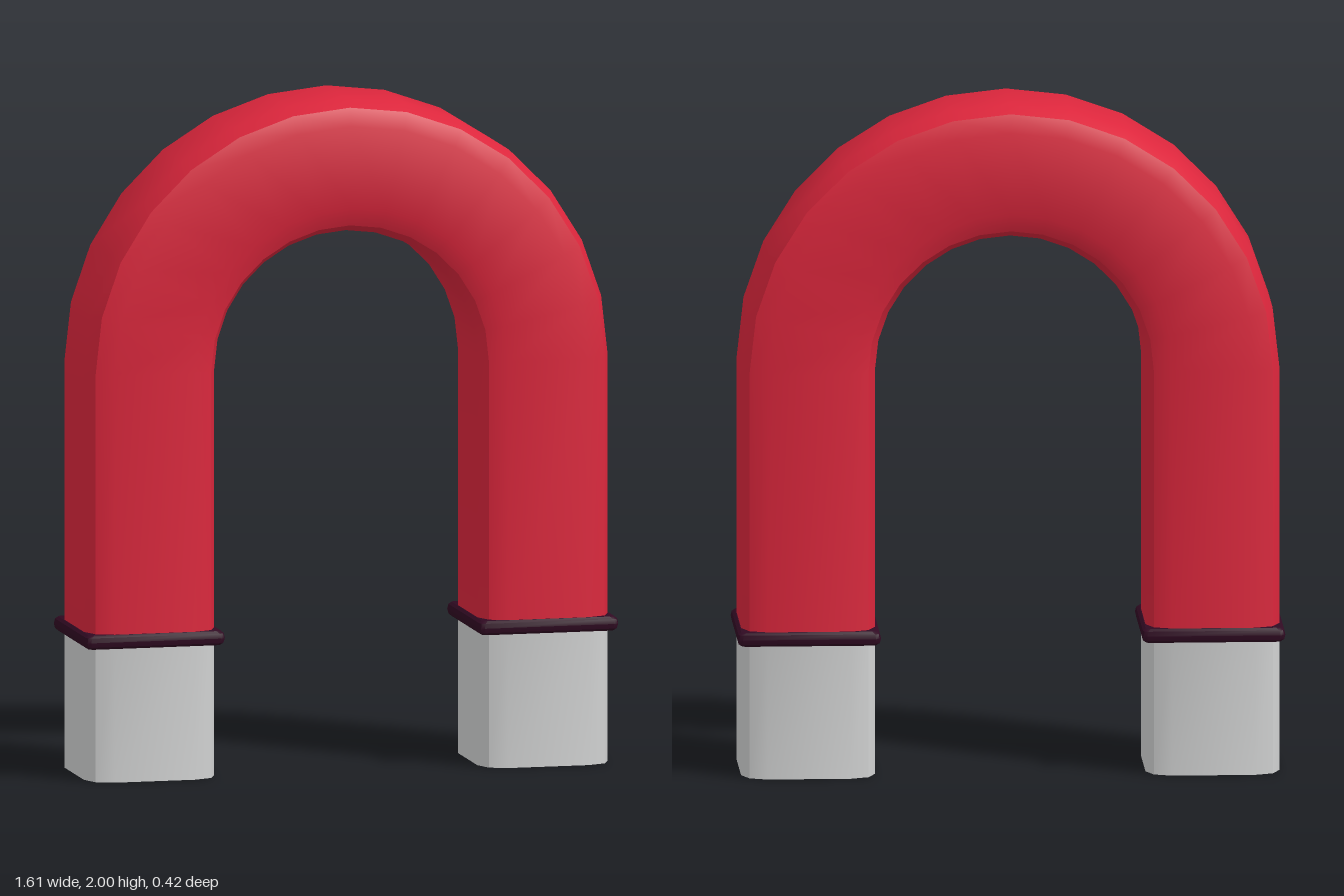
import * as THREE from 'three';
import { toCreasedNormals } from 'three/addons/utils/BufferGeometryUtils.js';

const LEG_X = 0.595;   // centre line of each leg, also the bend radius
const BEND_Y = 1.208;  // height where the legs start to bend
const HALF = 0.197;    // half the bar thickness

// Square section with corners rounded in two steps
function roundedSquare(half, radius) {
  const points = [];
  for (let corner = 0; corner < 4; corner++) {
    const mid = Math.PI / 4 + corner * Math.PI / 2;
    const cx = Math.sign(Math.cos(mid)) * (half - radius);
    const cy = Math.sign(Math.sin(mid)) * (half - radius);
    for (let k = -1; k <= 1; k++) {
      const a = mid + k * Math.PI / 4;
      points.push([cx + radius * Math.cos(a), cy + radius * Math.sin(a)]);
    }
  }
  return points;
}

// Closed solid through sections placed at x, y and turned by angle about z
function loft(stations) {
  const positions = [];
  const index = [];
  const n = stations[0].section.length;
  for (const { x, y, angle, section } of stations) {
    for (const [u, w] of section) {
      positions.push(x + u * Math.cos(angle), y + u * Math.sin(angle), -w);
    }
  }
  const last = (stations.length - 1) * n;
  for (let row = 0; row < last; row += n) {
    for (let j = 0; j < n; j++) {
      const k = (j + 1) % n;
      index.push(row + j, row + k, row + n + k, row + j, row + n + k, row + n + j);
    }
  }
  for (let j = 1; j < n - 1; j++) {
    index.push(0, j + 1, j, last, last + j, last + j + 1);
  }
  const geometry = new THREE.BufferGeometry();
  geometry.setAttribute('position', new THREE.Float32BufferAttribute(positions, 3));
  geometry.setIndex(index);
  return toCreasedNormals(geometry, 0.6);
}

export function createModel() {
  const group = new THREE.Group();
  const makeMaterial = (name, color) => {
    const material = new THREE.MeshStandardMaterial({ color });
    material.name = name;
    return material;
  };
  const red = makeMaterial('red', 0xdc263c);
  const silver = makeMaterial('silver', 0xd2d3d3);
  const dark = makeMaterial('darkPlum', 0x300a22);

  const add = (name, geometry, material) => {
    const mesh = new THREE.Mesh(geometry, material);
    mesh.name = name;
    group.add(mesh);
  };

  // Red horseshoe bar: up one leg, around the bend, down the other
  const section = roundedSquare(HALF, 0.075);
  const path = [{ x: LEG_X, y: 0.42, angle: 0, section }];
  const steps = 14;
  for (let i = 0; i <= steps; i++) {
    const angle = Math.PI * i / steps;
    path.push({
      x: LEG_X * Math.cos(angle),
      y: BEND_Y + LEG_X * Math.sin(angle),
      angle,
      section,
    });
  }
  path.push({ x: -LEG_X, y: 0.42, angle: Math.PI, section });
  add('horseshoeBar', loft(path), red);

  for (const [side, sign] of [['left', 1], ['right', -1]]) {
    const x = sign * LEG_X;

    // Bare metal pole tip
    add(`${side}PoleTip`, loft([0, 0.41].map((y) => ({ x, y, angle: 0, section }))), silver);

    // Thin collar with bevelled edges between tip and bar
    const profile = [[0.2, 0.398], [0.208, 0.405], [0.211, 0.419], [0.208, 0.433], [0.2, 0.44]];
    add(`${side}Collar`, loft(profile.map(([half, y]) => (
      { x, y, angle: 0, section: roundedSquare(half, 0.015) }
    ))), dark);
  }
  return group;
}
